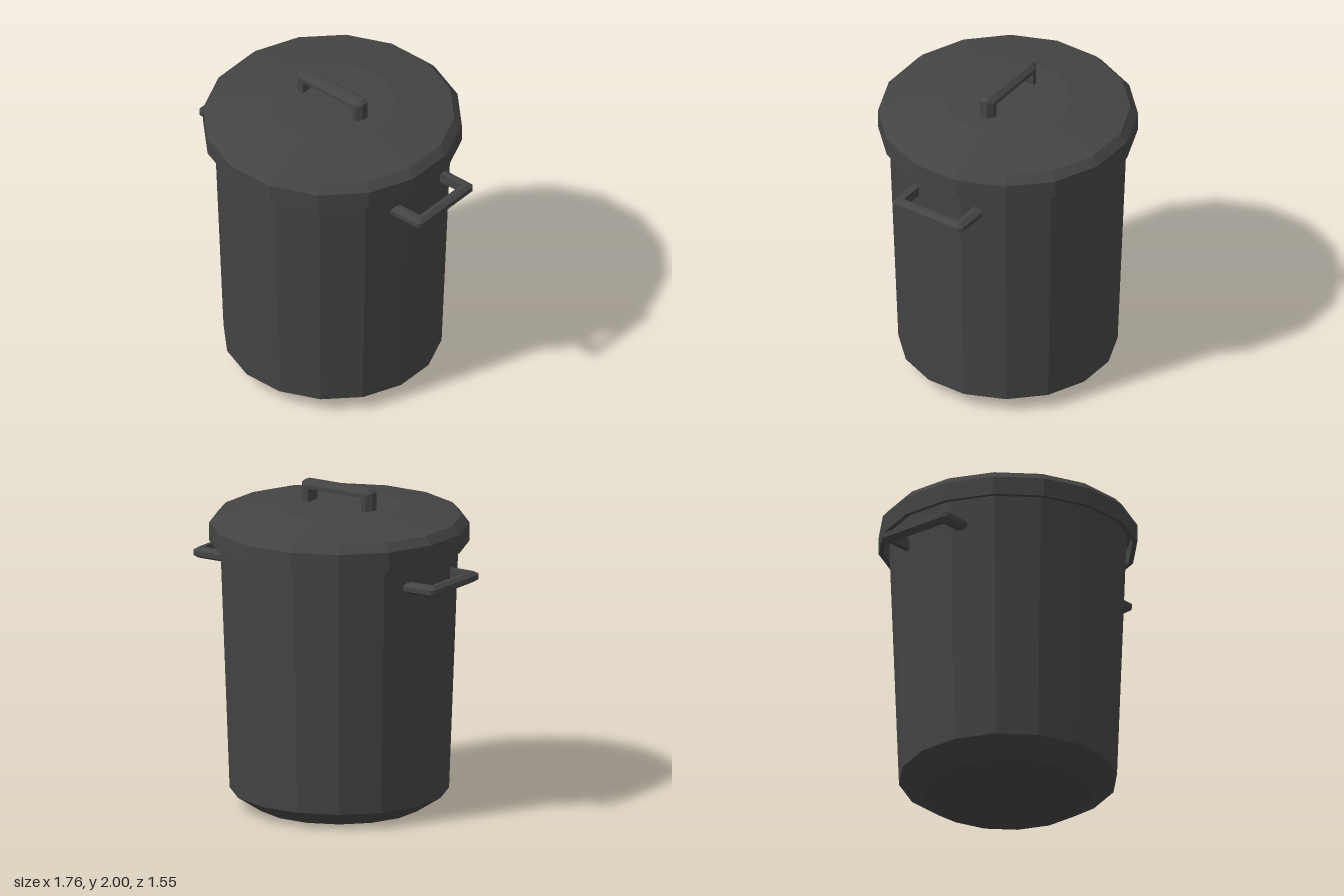
import * as THREE from 'three';

const SIDES = 16;
const material = new THREE.MeshStandardMaterial({ color: 0x444444, flatShading: true, side: THREE.DoubleSide });

// Faceted turned part; profile radii are measured to the middle of the flats
function turned(name, profile) {
  const k = 1 / Math.cos(Math.PI / SIDES);
  const points = profile.map(([r, y]) => new THREE.Vector2(r * k, y));
  const mesh = new THREE.Mesh(new THREE.LatheGeometry(points, SIDES, Math.PI / SIDES), material);
  mesh.name = name;
  return mesh;
}

// U-shaped handle: a bevelled section swept up, across and down, with clipped outer corners
function handle(name, halfSpan, height, legThick, barThick, halfWidth) {
  const section = [[0, -1], [0.5, -1], [1, -0.45], [1, 0.45], [0.5, 1], [0, 1]];
  const n = section.length;
  const half = [[0, -1, 0], [height, -1, 0.65], [height, -0.65, 1]];
  const rings = [
    ...half.map(([y, dx, dy]) => [-halfSpan, y, dx, dy]),
    ...half.slice().reverse().map(([y, dx, dy]) => [halfSpan, y, -dx, dy]),
  ];
  const positions = [];
  const index = [];
  rings.forEach(([x, y, dx, dy], i) => {
    section.forEach(([t, w], j) => {
      positions.push(x + dx * t * legThick, y + dy * t * barThick, w * halfWidth);
      if (i === rings.length - 1) return;
      const a = i * n + j;
      const b = i * n + (j + 1) % n;
      index.push(a, b, b + n, a, b + n, a + n);
    });
  });
  const geometry = new THREE.BufferGeometry();
  geometry.setAttribute('position', new THREE.Float32BufferAttribute(positions, 3));
  geometry.setIndex(index);
  const flat = geometry.toNonIndexed();
  flat.computeVertexNormals();
  const mesh = new THREE.Mesh(flat, material);
  mesh.name = name;
  return mesh;
}

export function createModel() {
  const model = new THREE.Group();
  model.name = 'bin';

  // Tapered body with a bevelled foot
  const body = turned('body', [[0, 0], [0.5, 0], [0.652, 0.1], [0.712, 1.75]]);

  // Lid with a hanging rim, shallow cone and flat crown
  const lid = turned('lid', [
    [0.7, 1.75], [0.745, 1.75], [0.745, 1.645], [0.773, 1.645],
    [0.773, 1.76], [0.728, 1.81], [0.375, 1.868], [0, 1.868],
  ]);
  for (const part of [body, lid]) part.position.set(-0.013, 0, -0.003);
  model.add(body, lid);

  // Lid handle
  const lidHandle = handle('lidHandle', 0.193, 0.1, 0.064, 0.05, 0.051);
  lidHandle.position.set(-0.013, 1.85, -0.003);
  model.add(lidHandle);

  // Side handles, laid flat and pointing outwards
  for (const side of [1, -1]) {
    const grip = handle(side > 0 ? 'leftHandle' : 'rightHandle', 0.197, 0.18, 0.06, 0.052, 0.033);
    grip.quaternion.setFromRotationMatrix(new THREE.Matrix4().makeBasis(
      new THREE.Vector3(0, 0, side),
      new THREE.Vector3(side, 0, 0),
      new THREE.Vector3(0, 1, 0),
    ));
    grip.position.set(side * 0.65, 1.498, -0.02);
    model.add(grip);
  }
  return model;
}
